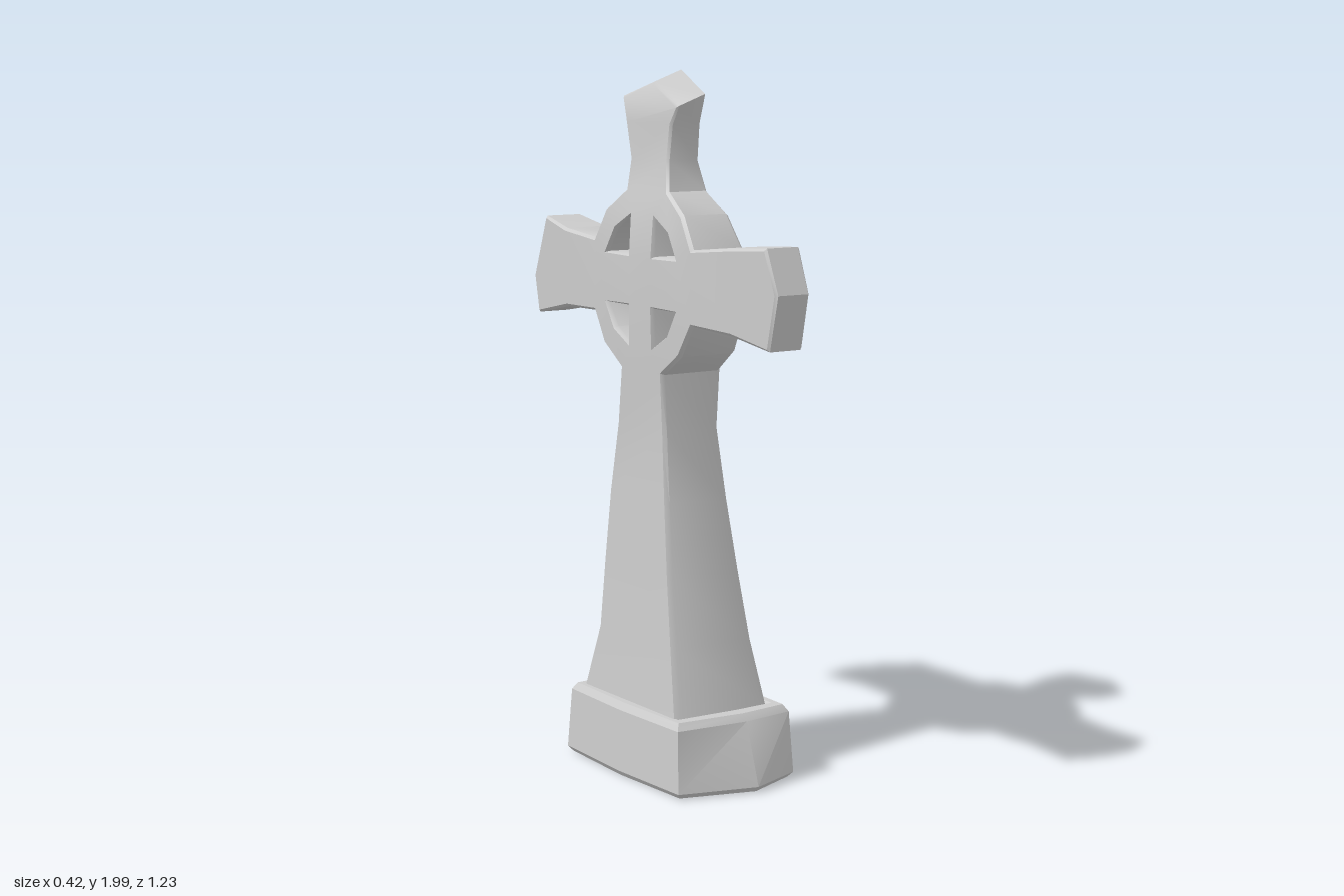
import * as THREE from 'three';
import { toCreasedNormals } from 'three/addons/utils/BufferGeometryUtils.js';

const stone = new THREE.MeshStandardMaterial({ color: 0xcccccc });
const { lerp, clamp, degToRad } = THREE.MathUtils;

function creased(verts, angle) {
  const geo = new THREE.BufferGeometry();
  geo.setAttribute('position', new THREE.Float32BufferAttribute(verts, 3));
  return toCreasedNormals(geo, angle);
}

// Back and front x of the cross: [y, back, front] along the stem, [z, back, front] along the arms
const stemDepths = [
  [0.12, -0.175, 0.155], [0.22, -0.165, 0.145], [0.4, -0.15, 0.12], [0.8, -0.127, 0.083],
  [1.0, -0.117, 0.067], [1.16, -0.128, 0.073], [1.4, -0.133, 0.076], [1.52, -0.13, 0.062],
  [1.6, -0.122, 0.038], [1.75, -0.09, 0.015], [1.93, -0.088, 0.008], [2.0, -0.075, 0.022],
];
const armDepths = [
  [-0.61, -0.11, -0.012], [-0.54, -0.11, 0.015], [-0.44, -0.105, 0.045], [-0.25, -0.122, 0.067],
  [-0.15, -0.133, 0.076], [0.15, -0.133, 0.072], [0.25, -0.13, 0.045], [0.41, -0.112, 0.01], [0.615, -0.11, 0],
];

function interpolate(rows, key) {
  let i = 1;
  while (i < rows.length - 1 && key > rows[i][0]) i++;
  const a = rows[i - 1], b = rows[i];
  const t = clamp((key - a[0]) / (b[0] - a[0]), 0, 1);
  return [lerp(a[1], b[1], t), lerp(a[2], b[2], t)];
}

function depthsAt([z, y]) {
  const [back, front] = interpolate(stemDepths, y);
  if (y < 1.2 || y > 1.58) return [back, front];
  const [armBack, armFront] = interpolate(armDepths, z);
  return [Math.max(back, armBack), Math.min(front, armFront)];
}

// Points [z, y] of the ring; sz and sy pick the quadrant, k runs 0..1 from arm to stem
const centreY = 1.415;
const polar = (sz, sy, radius, degrees) => {
  const a = degToRad(degrees);
  return [sz * radius * Math.cos(a), centreY + sy * radius * Math.sin(a)];
};
const inner = (sz, sy, k) => polar(sz, sy, 0.19, lerp(22.3, 71.6, k));
const outer = (sz, sy, k) => polar(sz, sy, 0.273, lerp(22.5, 67.5, k));
const hub = (sz, sy) => [sz * 0.06, centreY + sy * 0.072];

// Strips of the cross in side elevation; each row is a pair of opposite edge points
function crossStrips() {
  const across = (point, sy, k) => [point(1, sy, k), point(-1, sy, k)];
  const upright = (point, sz, k) => [point(sz, -1, k), point(sz, 1, k)];
  const level = ([y, left, right]) => [[left, y], [right, y]];
  const stem = [
    ...[[0.12, 0.25, -0.26], [0.22, 0.23, -0.245], [0.4, 0.19, -0.19], [0.6, 0.155, -0.18],
      [0.8, 0.125, -0.167], [1.0, 0.1, -0.14]].map(level),
    across(outer, -1, 1), across(inner, -1, 1), across(hub, -1), across(hub, 1), across(inner, 1, 1), across(outer, 1, 1),
    ...[[1.75, 0.08, -0.11], [1.85, 0.095, -0.135]].map(level),
    [[0.125, 1.935], [-0.16, 1.957]],
    [[-0.01, 2.0], [-0.01, 2.0]],
  ];
  const arm = (sz, ...rows) => [upright(hub, sz), upright(inner, sz, 0), upright(outer, sz, 0), ...rows];
  const leftArm = arm(1, [[0.41, 1.3], [0.41, 1.535]], [[0.58, 1.275], [0.565, 1.545]], [[0.615, 1.425], [0.615, 1.425]]);
  const rightArm = arm(-1, [[-0.43, 1.305], [-0.44, 1.535]], [[-0.585, 1.275], [-0.54, 1.565]], [[-0.61, 1.385], [-0.61, 1.385]]);
  const strips = [stem, leftArm, rightArm];
  for (const sz of [1, -1]) {
    for (const sy of [1, -1]) strips.push([0, 0.5, 1].map((k) => [inner(sz, sy, k), outer(sz, sy, k)]));
  }
  return strips;
}

// Fills the strips front and back, and walls every edge that only one cell uses
function crossGeometry() {
  const cells = [];
  for (const rows of crossStrips()) {
    for (let i = 1; i < rows.length; i++) {
      const cell = [rows[i - 1][0], rows[i - 1][1], rows[i][1], rows[i][0]];
      let area = 0;
      cell.forEach((p, k) => {
        const q = cell[(k + 1) % 4];
        area += p[1] * q[0] - p[0] * q[1];
      });
      cells.push(area > 0 ? cell : cell.reverse());
    }
  }

  const id = (p) => p.map((v) => Math.round(v * 1000)).join();
  const edges = new Map();
  for (const cell of cells) {
    cell.forEach((a, k) => {
      const b = cell[(k + 1) % 4];
      if (id(a) !== id(b)) edges.set(`${id(a)}|${id(b)}`, [a, b]);
    });
  }
  const border = [...edges.values()].filter(([a, b]) => !edges.has(`${id(b)}|${id(a)}`));

  // outward direction at each border point, for the chamfered rims
  const outward = new Map();
  for (const [a, b] of border) {
    const normal = new THREE.Vector2(a[1] - b[1], b[0] - a[0]).normalize();
    for (const p of [a, b]) outward.set(id(p), (outward.get(id(p)) ?? new THREE.Vector2()).add(normal));
  }
  for (const n of outward.values()) n.normalize();

  const place = (p, [t, inset]) => {
    const n = outward.get(id(p)) ?? new THREE.Vector2();
    const [back, front] = depthsAt(p);
    const drop = p[1] > 1.9 ? 0.035 * (1 - t) : 0; // the head slopes down to the back
    return [lerp(back, front, t), p[1] - drop - n.y * inset, p[0] - n.x * inset];
  };
  const layers = [[0, 0.008], [0.06, 0], [0.94, 0], [1, 0.008]];
  const verts = [];
  const quad = (a, b, c, d) => verts.push(...a, ...b, ...c, ...a, ...c, ...d);
  for (const cell of cells) {
    quad(...cell.map((p) => place(p, layers[3])));
    quad(...cell.map((p) => place(p, layers[0])).reverse());
  }
  for (const [a, b] of border) {
    for (let i = 0; i < 3; i++) {
      const lo = layers[i], hi = layers[i + 1];
      quad(place(a, lo), place(b, lo), place(b, hi), place(a, hi));
    }
  }
  return creased(verts, 0.6);
}

// Plinth lofted through eight-sided rings: [y, mid x, corner x, corner z, end z]
function plinthGeometry() {
  const rings = [
    [0.005, 0, 0, 0, 0],
    [0.005, 0.2, 0.185, 0.28, 0.343],
    [0.02, 0.21, 0.197, 0.292, 0.355],
    [0.195, 0.2, 0.19, 0.278, 0.297],
    [0.215, 0.187, 0.178, 0.264, 0.28],
    [0.215, 0.165, 0.16, 0.235, 0.24],
    [0.203, 0.15, 0.145, 0.22, 0.22],
    [0.203, 0, 0, 0, 0],
  ].map(([y, x, cx, cz, ez]) => {
    const apex = ez > 0 ? 0.03 : 0;
    return [[x, 0], [cx, cz], [apex, ez], [-cx, cz], [-x, 0], [-cx, -cz], [apex, -ez], [cx, -cz]]
      .map(([px, pz]) => [px, y, pz]);
  });
  const verts = [];
  for (let i = 0; i + 1 < rings.length; i++) {
    for (let j = 0; j < 8; j++) {
      const k = (j + 1) % 8;
      const a = rings[i][j], b = rings[i][k], c = rings[i + 1][j], d = rings[i + 1][k];
      if (i > 0) verts.push(...a, ...c, ...b);
      if (i < rings.length - 2) verts.push(...b, ...c, ...d);
    }
  }
  return creased(verts, 0.5);
}

export function createModel() {
  const model = new THREE.Group();
  model.name = 'ringedStoneCross';
  const addPart = (name, geometry) => {
    const mesh = new THREE.Mesh(geometry, stone);
    mesh.name = name;
    model.add(mesh);
  };
  addPart('plinth', plinthGeometry());
  addPart('cross', crossGeometry());
  return model;
}
